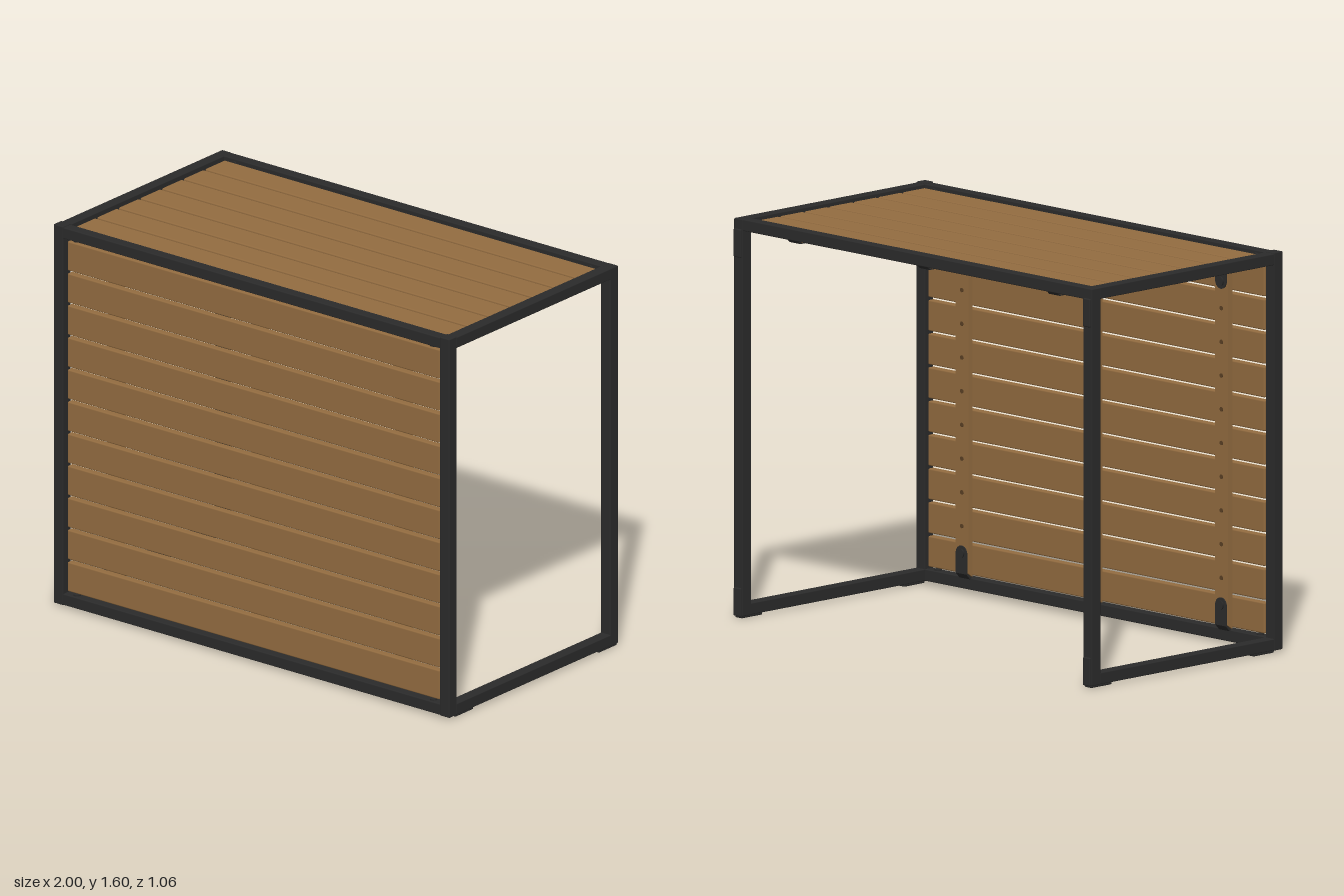
import * as THREE from 'three';
import { RoundedBoxGeometry } from 'three/addons/geometries/RoundedBoxGeometry.js';

const wood = new THREE.MeshStandardMaterial({ color: 0x936c40 });
const metal = new THREE.MeshStandardMaterial({ color: 0x2b2b2b });
const screwBrown = new THREE.MeshStandardMaterial({ color: 0x5a4024 });
wood.name = 'wood';
metal.name = 'darkMetal';
screwBrown.name = 'screwBrown';

function add(parent, name, geometry, material, x = 0, y = 0, z = 0) {
  const mesh = new THREE.Mesh(geometry, material);
  mesh.name = name;
  mesh.position.set(x, y, z);
  parent.add(mesh);
  return mesh;
}

// Softened box given by its minimum and maximum corners
function bar(parent, name, material, min, max, radius = 0.004) {
  const size = max.map((v, i) => v - min[i]);
  const mid = max.map((v, i) => (v + min[i]) / 2);
  return add(parent, name, new RoundedBoxGeometry(...size, 1, radius), material, ...mid);
}

// Side profile in (z, y), extruded across x and centred on it
function strip(parent, name, material, points, width, x) {
  const shape = new THREE.Shape(points.map(([z, y]) => new THREE.Vector2(-z, y)));
  const geometry = new THREE.ExtrudeGeometry(shape, { depth: width, bevelEnabled: false });
  geometry.translate(0, 0, -width / 2).rotateY(Math.PI / 2);
  return add(parent, name, geometry, material, x);
}

// Slatted panel: length along y, outer face of the frame at z = 0
function slatPanel(name, count, half) {
  const panel = new THREE.Group();
  panel.name = name;
  const pitch = 0.135;
  const rows = Array.from({ length: count }, (_, i) => (i - (count - 1) / 2) * pitch);

  for (const y of rows) {
    bar(panel, 'slat', wood, [-0.94, y - 0.062, -0.043], [0.94, y + 0.062, -0.012], 0.006);
  }

  const screw = new THREE.CylinderGeometry(0.009, 0.009, 0.003, 12).rotateX(Math.PI / 2);
  const bolt = new THREE.CylinderGeometry(0.018, 0.021, 0.012, 16).rotateX(Math.PI / 2);
  const tip = new THREE.CylinderGeometry(0.03, 0.03, 0.005, 20).rotateX(Math.PI / 2);
  const stud = new THREE.CylinderGeometry(0.015, 0.015, 0.008, 12);

  for (const x of [-0.725, 0, 0.725]) {
    // Batten with mitred ends
    const inner = half - 0.022, outer = half - 0.006;
    strip(panel, 'batten', wood,
      [[-0.043, -outer], [-0.043, outer], [-0.067, inner], [-0.067, -inner]], 0.072, x);
    for (const y of rows) add(panel, 'screw', screw, screwBrown, x, y, -0.0675);

    // Bent bracket joining each batten end to the frame
    for (const s of [-1, 1]) {
      const bracket = new THREE.Group();
      bracket.name = 'bracket';
      panel.add(bracket);
      const profile = [
        [-0.067, half - 0.105], [-0.067, half - 0.022], [-0.045, half - 0.006],
        [-0.045, half + 0.004], [-0.051, half + 0.004], [-0.072, half - 0.018],
        [-0.072, half - 0.105],
      ].map(([z, y]) => [z, y * s]);
      if (s < 0) profile.reverse();
      strip(bracket, 'bracketPlate', metal, profile, 0.06, x);
      add(bracket, 'bracketTip', tip, metal, x, s * (half - 0.1), -0.0695);
      add(bracket, 'bracketBolt', bolt, metal, x, s * (half - 0.1), -0.075);
    }
  }

  // Small studs on the inner faces of the frame
  for (const x of [-0.9, 0.9]) {
    for (const s of [-1, 1]) add(panel, 'stud', stud, metal, x, s * (half - 0.002), -0.025);
  }
  return panel;
}

export function createModel() {
  const model = new THREE.Group();
  model.name = 'slattedFrame';

  // Tubular frame
  const frame = new THREE.Group();
  frame.name = 'frame';
  model.add(frame);
  for (const s of [-1, 1]) {
    const xs = s < 0 ? [-1, -0.951] : [0.951, 1];
    bar(frame, 'frontPost', metal, [xs[0], 0.012, 0.482], [xs[1], 1.606, 0.53]);
    bar(frame, 'backPost', metal, [xs[0], 0.012, -0.524], [xs[1], 1.602, -0.475]);
    bar(frame, 'sideTopRail', metal, [xs[0], 1.556, -0.48], [xs[1], 1.602, 0.485]);
    bar(frame, 'sideBottomRail', metal, [xs[0], 0.013, -0.48], [xs[1], 0.06, 0.485]);

    // Rounded pads under the rails and behind the back posts
    const x = s * 0.976;
    for (const z of [0.43, -0.465]) {
      bar(frame, 'footPad', metal, [x - 0.02, 0.003, z - 0.057], [x + 0.02, 0.016, z + 0.057], 0.005);
    }
    for (const y of [0.068, 1.505]) {
      bar(frame, 'backPad', metal, [x - 0.02, y - 0.057, -0.532], [x + 0.02, y + 0.057, -0.52], 0.005);
    }
  }
  bar(frame, 'frontTopRail', metal, [-0.955, 1.556, 0.482], [0.955, 1.602, 0.528]);
  bar(frame, 'frontBottomRail', metal, [-0.955, 0.013, 0.482], [0.955, 0.06, 0.528]);
  bar(frame, 'backTopRail', metal, [-0.955, 1.556, -0.522], [0.955, 1.602, -0.475]);

  // Upright panel at the front and flat panel on top
  const front = slatPanel('frontPanel', 11, 0.748);
  front.position.set(0, 0.808, 0.53);
  const top = slatPanel('topPanel', 7, 0.478);
  top.rotation.x = -Math.PI / 2;
  top.position.set(0, 1.603, 0.002);
  model.add(front, top);

  return model;
}
